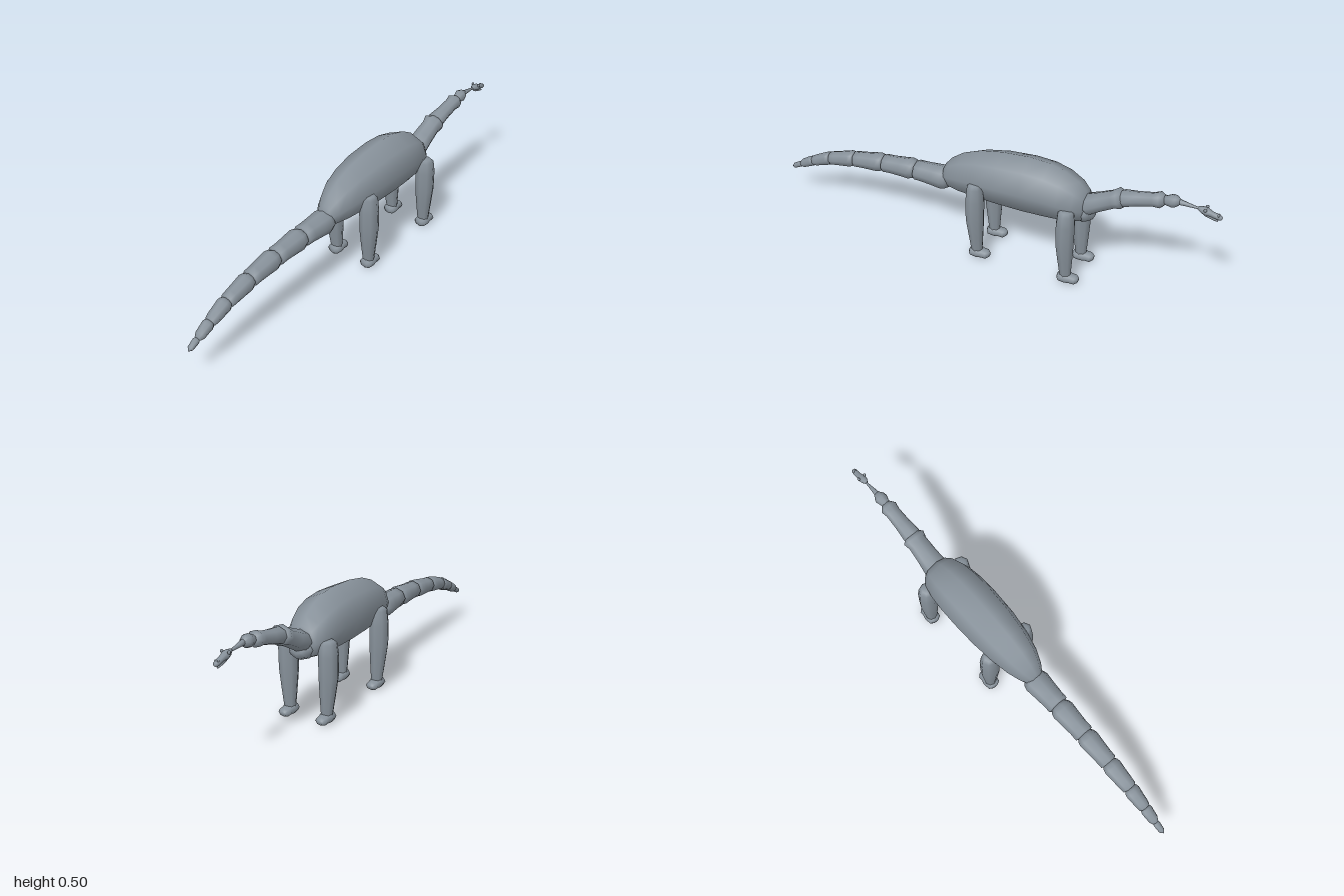
import * as THREE from 'three';

const hide = new THREE.MeshStandardMaterial({ color: 0x87919a });
hide.name = 'greyHide';

// Eight-sided smooth loft; rings are [x, y, z, radius in the xy plane, radius in z]
function loft(name, rings, dir, sides = 8) {
  const a = rings[0], b = rings[rings.length - 1];
  const d = new THREE.Vector2(...(dir || [b[0] - a[0], b[1] - a[1]])).normalize();
  const pos = [], index = [];
  for (const [x, y, z, r, rz] of rings) {
    for (let i = 0; i < sides; i++) {
      const t = (i / sides) * Math.PI * 2, c = Math.cos(t) * r;
      pos.push(x - d.y * c, y + d.x * c, z + Math.sin(t) * rz);
    }
  }
  for (let k = 0; k < rings.length - 1; k++) {
    for (let i = 0; i < sides; i++) {
      const j = (i + 1) % sides, p = k * sides + i, q = k * sides + j;
      index.push(p, q, p + sides, q, q + sides, p + sides);
    }
  }
  // End caps meet at a centre point
  const n = pos.length / 3, last = (rings.length - 1) * sides;
  pos.push(a[0], a[1], a[2], b[0], b[1], b[2]);
  for (let i = 0; i < sides; i++) {
    const j = (i + 1) % sides;
    index.push(n, j, i, n + 1, last + i, last + j);
  }
  const g = new THREE.BufferGeometry();
  g.setAttribute('position', new THREE.Float32BufferAttribute(pos, 3));
  g.setIndex(index);
  g.computeVertexNormals();
  const m = new THREE.Mesh(g, hide);
  m.name = name;
  return m;
}

// Straight segment between two points; profile is [fraction, radius]
function segment(name, from, to, profile, widen = 1) {
  return loft(name, profile.map(([t, r]) => [
    from[0] + (to[0] - from[0]) * t, from[1] + (to[1] - from[1]) * t, 0, r, r * widen]));
}

function ball(name, x, y, z, rx, ry, rz) {
  const m = new THREE.Mesh(new THREE.SphereGeometry(1, 8, 6), hide);
  m.position.set(x, y, z);
  m.scale.set(rx, ry, rz);
  m.name = name;
  return m;
}

export function createModel() {
  const model = new THREE.Group();
  model.name = 'longNeckedDinosaur';

  // Body: [x, bottom, top, half width]
  const body = [
    [-0.208, 0.295, 0.335, 0.015], [-0.195, 0.274, 0.368, 0.038], [-0.165, 0.263, 0.404, 0.058],
    [-0.11, 0.258, 0.443, 0.08], [-0.03, 0.255, 0.474, 0.097], [0.07, 0.252, 0.493, 0.109],
    [0.19, 0.25, 0.502, 0.113], [0.28, 0.253, 0.496, 0.111], [0.35, 0.257, 0.476, 0.104],
    [0.41, 0.262, 0.443, 0.088], [0.443, 0.274, 0.411, 0.066], [0.455, 0.305, 0.375, 0.035],
  ];
  model.add(loft('body', body.map(([x, lo, hi, w]) => [x, (lo + hi) / 2, 0, (hi - lo) / 2, w]), [1, 0]));

  // Tail: each segment starts wide and tapers into the next
  const tail = [[-0.18, 0.296, 0.052], [-0.345, 0.297, 0.046], [-0.505, 0.287, 0.042], [-0.655, 0.267, 0.037],
    [-0.785, 0.236, 0.031], [-0.88, 0.197, 0.024], [-0.95, 0.161, 0.014], [-1, 0.135, 0.003]];
  for (let i = 0; i < tail.length - 1; i++) {
    const r = tail[i][2], e = tail[i + 1][2];
    segment('', tail[i], tail[i + 1], [[0, r]]);
    model.add(segment('tailSegment' + (i + 1), tail[i], tail[i + 1],
      [[-0.06, r * 0.65], [0.04, r * 0.9], [0.16, r], [0.4, r * 0.93], [0.75, r * 0.85],
        [0.96, e * 0.95], [1, e * 0.5]], 1.1));
  }

  // Neck: shoulder joint, two thick segments, a knuckle and a thin rod
  model.add(segment('neckBase', [0.41, 0.3], [0.475, 0.333],
    [[0, 0.03], [0.3, 0.045], [0.7, 0.046], [1, 0.03]], 1.15));
  model.add(segment('lowerNeck', [0.435, 0.342], [0.605, 0.427],
    [[0, 0.03], [0.1, 0.045], [0.4, 0.04], [0.75, 0.037], [0.9, 0.043], [1, 0.027]], 1.2));
  model.add(segment('upperNeck', [0.585, 0.418], [0.77, 0.462],
    [[0, 0.026], [0.1, 0.035], [0.4, 0.03], [0.75, 0.028], [0.9, 0.033], [1, 0.02]], 1.15));
  model.add(segment('neckKnuckle', [0.755, 0.459], [0.83, 0.472],
    [[0, 0.014], [0.3, 0.021], [0.6, 0.028], [0.8, 0.024], [1, 0.012]]));
  model.add(segment('thinNeck', [0.81, 0.471], [0.925, 0.461],
    [[0, 0.014], [0.4, 0.009], [0.75, 0.005], [1, 0.007]]));

  // Head with a sloping snout, lower jaw, eyes and nostril bumps
  const head = new THREE.Group();
  head.name = 'head';
  head.add(segment('skull', [0.902, 0.466], [1, 0.441],
    [[0, 0.006], [0.15, 0.013], [0.35, 0.016], [0.55, 0.011], [0.8, 0.011], [0.95, 0.009], [1, 0.004]], 1.15));
  head.add(segment('lowerJaw', [0.92, 0.45], [0.984, 0.426],
    [[0, 0.006], [0.3, 0.009], [0.8, 0.006], [1, 0.003]]));
  for (const s of [-1, 1]) {
    head.add(ball('eye', 0.934, 0.47, s * 0.016, 0.007, 0.007, 0.006));
    head.add(ball('nostril', 0.985, 0.453, s * 0.006, 0.005, 0.004, 0.004));
  }
  model.add(head);

  // Legs: tapered limb with rounded top and a foot pointing forward
  for (const [name, x, top] of [['hind', -0.013, 0.365], ['front', 0.395, 0.351]]) {
    for (const s of [-1, 1]) {
      const leg = new THREE.Group();
      leg.name = name + (s > 0 ? 'RightLeg' : 'LeftLeg');
      leg.add(loft('limb', [
        [x, top, s * 0.092, 0.023, 0.024], [x, top - 0.012, s * 0.092, 0.035, 0.038],
        [x, 0.29, s * 0.093, 0.041, 0.043], [x, 0.2, s * 0.093, 0.04, 0.042],
        [x + 0.003, 0.12, s * 0.09, 0.033, 0.034], [x + 0.006, 0.04, s * 0.087, 0.025, 0.025],
        [x + 0.006, 0.015, s * 0.087, 0.02, 0.022],
      ], [0, -1]));
      leg.add(loft('foot', [
        [x - 0.026, 0.025, s * 0.087, 0.012, 0.014], [x - 0.018, 0.026, s * 0.087, 0.022, 0.029],
        [x + 0.012, 0.026, s * 0.087, 0.023, 0.033], [x + 0.032, 0.024, s * 0.087, 0.019, 0.027],
        [x + 0.052, 0.023, s * 0.087, 0.018, 0.027], [x + 0.064, 0.023, s * 0.087, 0.01, 0.015],
      ], [1, 0]));
      model.add(leg);
    }
  }
  return model;
}
